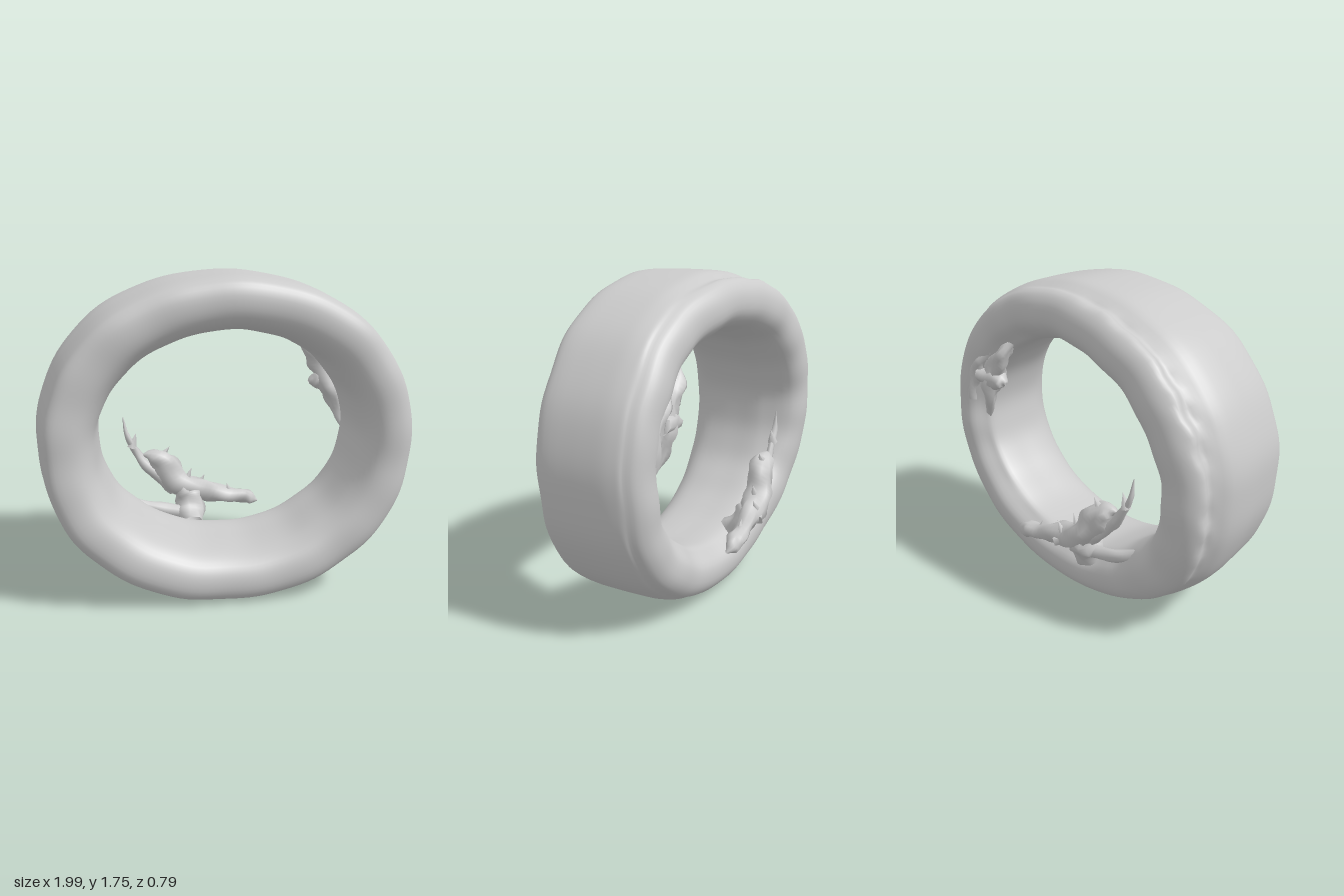
import * as THREE from 'three';

const V = (x, y, z) => new THREE.Vector3(x, y, z);
const mat = new THREE.MeshStandardMaterial({ color: 0xcccccc, side: THREE.DoubleSide });

// Skin a list of closed cross-sections; optionally join the last to the first
function loft(rings, closed) {
  const n = rings.length, m = rings[0].length, pos = [], idx = [];
  for (const ring of rings) for (const p of ring) pos.push(p.x, p.y, p.z);
  for (let i = 0; i < (closed ? n : n - 1); i++) {
    for (let j = 0; j < m; j++) {
      const a = i * m + j, b = ((i + 1) % n) * m + j;
      const c = ((i + 1) % n) * m + (j + 1) % m, d = i * m + (j + 1) % m;
      idx.push(a, b, c, a, c, d);
    }
  }
  const g = new THREE.BufferGeometry();
  g.setAttribute('position', new THREE.Float32BufferAttribute(pos, 3));
  g.setIndex(idx);
  g.computeVertexNormals();
  return g;
}

// Point on a slightly squared oval
function oval(t, cx, cy, rx, ry, power) {
  const c = Math.cos(t), s = Math.sin(t);
  const k = Math.pow(Math.pow(Math.abs(c), power) + Math.pow(Math.abs(s), power), -1 / power);
  return V(cx + rx * c * k, cy + ry * s * k, 0);
}

// Worn oval tyre body with a raised lip and groove at the upper left of the back
function tyreGeometry() {
  const rings = [], N = 128, M = 64;
  for (let i = 0; i < N; i++) {
    const t = (i / N) * Math.PI * 2, c = Math.cos(t);
    const lip = Math.max(0, Math.cos(t - 2.62)), left = Math.max(0, -c);
    const wob = 0.006 * Math.sin(9 * t) + 0.005 * Math.sin(17 * t + 1);
    const fold = lip * lip * (0.02 * Math.sin(31 * t) + 0.015 * Math.sin(23 * t + 2));
    const zf = 0.37 - 0.015 * c + wob * 0.4;
    const zb = -0.24 - 0.095 * lip + 0.01 * c + wob * 0.5;
    const outer = oval(t, -0.003, 0.882, 0.991, 0.874, 2.13);
    const inner = oval(t, 0.02, 0.877, 0.69, 0.575, 2);
    const section = [
      [1 - 0.04 * left, 0.15], [0.975 - 0.07 * left, 0.28], [0.91 - 0.06 * left, zf - 0.03],
      [0.73, zf], [0.48, zf], [0.28, zf - 0.03],
      [0.13, zf - 0.1], [0.06, 0.17], [0.025, 0.04], [0, -0.08], [0.03, -0.15],
      [0.14, zb + 0.05], [0.35, zb], [0.65, zb], [0.84, zb + 0.035],
      [0.91 - 0.02 * lip + fold, zb + 0.08 - 0.01 * lip],
      [0.95 - 0.14 * lip + fold, -0.13 - 0.09 * lip], [0.975 - 0.11 * lip, -0.1 - 0.08 * lip],
      [1 - 0.02 * lip, -0.05 - 0.06 * lip], [1.005, 0.03],
    ].map(([u, z]) => {
      const p = inner.clone().lerp(outer, u + wob);
      return V(p.x, p.y, z);
    });
    const curve = new THREE.CatmullRomCurve3(section, true, 'centripetal');
    rings.push(Array.from({ length: M }, (_, j) => curve.getPoint(j / M)));
  }
  return loft(rings, true);
}

// Lumpy tapering branch; each point is [x, y, z, radius]
function branch(points, rough = 0.12, sides = 10) {
  const curve = new THREE.CatmullRomCurve3(points.map(p => V(p[0], p[1], p[2])));
  const steps = points.length * 4, frames = curve.computeFrenetFrames(steps, false), rings = [];
  for (let i = 0; i <= steps; i++) {
    const f = (i / steps) * (points.length - 1), k = Math.min(Math.floor(f), points.length - 2);
    const r = THREE.MathUtils.lerp(points[k][3], points[k + 1][3], f - k);
    const c = curve.getPoint(i / steps);
    rings.push(Array.from({ length: sides }, (_, j) => {
      const a = -(j / sides) * Math.PI * 2;
      const rr = r * (1 + rough * Math.sin(2 * a + i * 0.5) + rough * Math.sin(3 * a - i * 0.8));
      return c.clone().addScaledVector(frames.normals[i], rr * Math.cos(a))
        .addScaledVector(frames.binormals[i], rr * Math.sin(a));
    }));
  }
  return loft(rings, false);
}

export function createModel() {
  const group = new THREE.Group();
  const add = (parent, name, geo) => {
    const mesh = new THREE.Mesh(geo, mat);
    mesh.name = name;
    parent.add(mesh);
    return mesh;
  };
  add(group, 'tyreBody', tyreGeometry());

  // Ragged debris caught on the lower back rim
  const debris = new THREE.Group();
  debris.name = 'lowerDebris';
  group.add(debris);
  add(debris, 'mainBranch', branch([
    [-0.42, 0.68, -0.27, 0.005], [-0.36, 0.67, -0.27, 0.05], [-0.3, 0.61, -0.28, 0.075],
    [-0.23, 0.51, -0.29, 0.075], [-0.14, 0.45, -0.31, 0.07], [-0.03, 0.42, -0.32, 0.055],
    [0.08, 0.385, -0.33, 0.045], [0.18, 0.37, -0.34, 0.045], [0.23, 0.35, -0.34, 0.035],
    [0.27, 0.335, -0.33, 0.004]]));
  add(debris, 'thinTip', branch([
    [-0.53, 0.91, -0.27, 0.002], [-0.51, 0.8, -0.27, 0.016], [-0.46, 0.7, -0.27, 0.02],
    [-0.4, 0.61, -0.27, 0.03], [-0.31, 0.52, -0.28, 0.035], [-0.24, 0.45, -0.28, 0.03]]));
  add(debris, 'foot', branch([
    [-0.2, 0.5, -0.29, 0.05], [-0.17, 0.42, -0.28, 0.075], [-0.15, 0.35, -0.24, 0.075],
    [-0.15, 0.28, -0.18, 0.08]]));
  add(debris, 'sideStrand', branch([
    [-0.56, 0.47, -0.17, 0.02], [-0.44, 0.4, -0.2, 0.03], [-0.32, 0.36, -0.22, 0.035],
    [-0.18, 0.33, -0.22, 0.04]], 0.06));

  // Shards standing off the debris: position, radius, height, tilt
  for (const [x, y, z, r, h, tilt] of [
    [-0.15, 0.54, -0.3, 0.025, 0.08, -0.4], [-0.07, 0.49, -0.34, 0.022, 0.07, -0.6],
    [0.09, 0.43, -0.33, 0.02, 0.06, 0.3], [-0.29, 0.69, -0.28, 0.03, 0.08, -0.7],
    [-0.47, 0.77, -0.27, 0.03, 0.09, -0.3], [-0.1, 0.42, -0.36, 0.035, 0.07, 1.2]]) {
    const shard = add(debris, 'shard', new THREE.ConeGeometry(r, h, 5));
    shard.position.set(x, y, z);
    shard.rotation.z = tilt;
  }

  // Crust on the inner left wall near the back
  const crust = new THREE.Group();
  crust.name = 'innerCrust';
  group.add(crust);
  add(crust, 'crustRidge', branch([
    [0.47, 1.36, -0.16, 0.01], [0.53, 1.29, -0.18, 0.045], [0.6, 1.2, -0.18, 0.055],
    [0.65, 1.07, -0.18, 0.055], [0.69, 0.97, -0.17, 0.04], [0.73, 0.84, -0.15, 0.01]], 0.2));
  add(crust, 'crustKnob', branch([
    [0.53, 1.1, -0.18, 0.01], [0.56, 1.11, -0.18, 0.045], [0.62, 1.11, -0.19, 0.055],
    [0.72, 1.12, -0.2, 0.05]]));
  add(crust, 'crustPatch', branch([
    [0.62, 1.27, -0.18, 0.03], [0.72, 1.2, -0.2, 0.045], [0.77, 1.08, -0.2, 0.04],
    [0.8, 0.95, -0.2, 0.03]], 0.2));
  return group;
}
